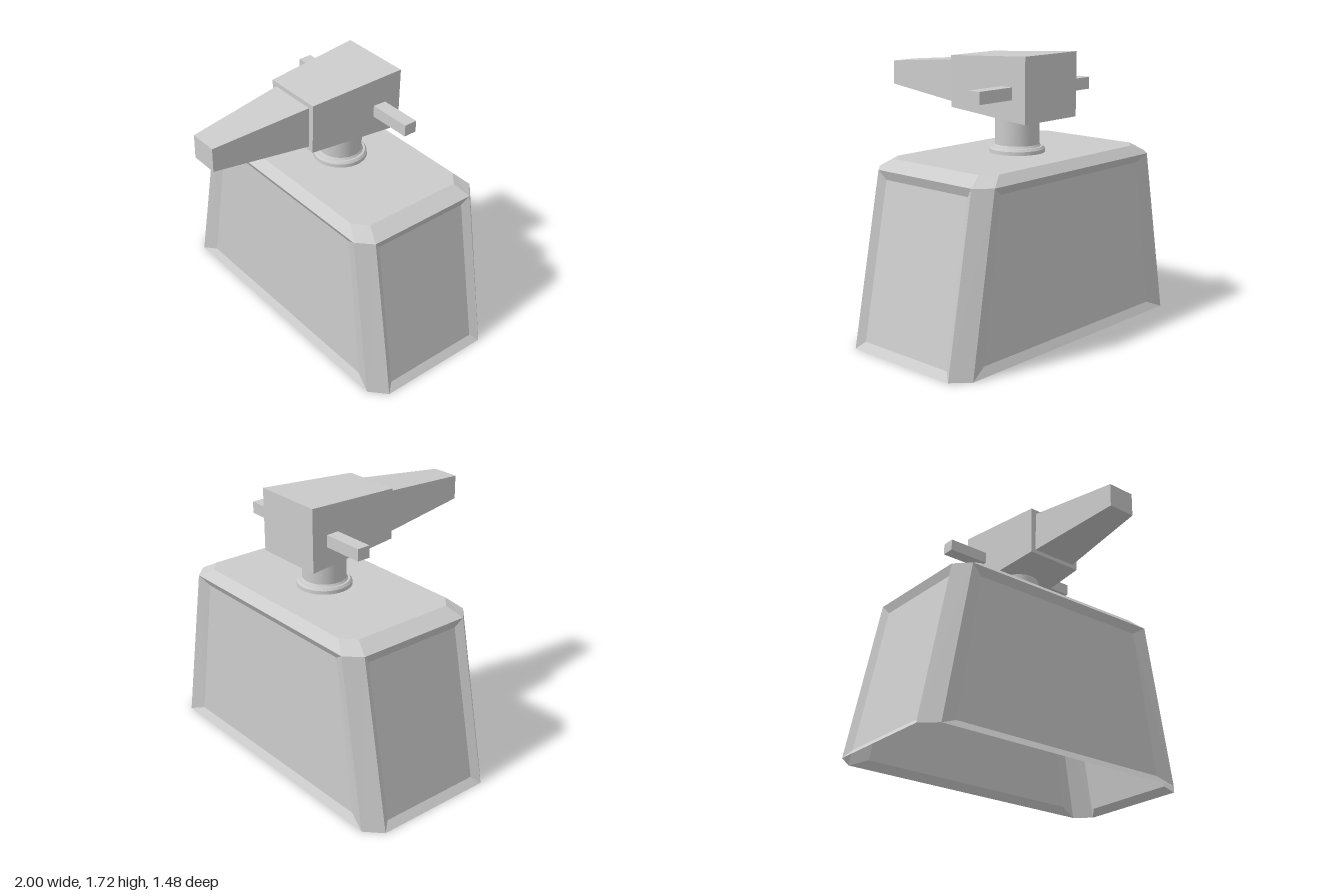
import * as THREE from 'three';

const CX = 0.01, CZ = -0.257; // neck/head centre line, body centre depth

// Octagonal ring: half sizes a, b with corners cut back to ac, bc
function ring(a, ac, b, bc, y) {
  return [[a, bc], [ac, b], [-ac, b], [-a, bc], [-a, -bc], [-ac, -b], [ac, -b], [a, -bc]]
    .map(([x, z]) => new THREE.Vector3(x, y, CZ + z));
}

// Tapered, open-bottomed body with recessed panels on its four main sides
function bodyGeometry() {
  const base = ring(1, 0.9, 0.4825, 0.3875, 0);
  const shoulder = ring(0.8, 0.71, 0.467, 0.377, 1.055);
  const top = ring(0.7, 0.615, 0.41, 0.335, 1.11);
  const pos = [];
  const tri = (...pts) => pts.forEach(p => pos.push(p.x, p.y, p.z));
  const quad = (a, b, c, d) => { tri(a, b, c); tri(a, c, d); };

  const panel = (bl, br, tr, tl) => {
    const normal = br.clone().sub(bl).cross(tl.clone().sub(bl)).normalize();
    const at = (u, v) => bl.clone().lerp(br, u)
      .lerp(tl.clone().lerp(tr, u), v).addScaledVector(normal, -0.03);
    const u = 0.062, v = 0.048;
    const outer = [bl, br, tr, tl];
    const inner = [at(u, v), at(1 - u, v), at(1 - u, 1 - v), at(u, 1 - v)];
    for (let k = 0; k < 4; k++) {
      const n = (k + 1) % 4;
      quad(outer[k], outer[n], inner[n], inner[k]);
    }
    quad(...inner);
  };

  for (let i = 0; i < 8; i++) {
    const n = (i + 1) % 8;
    (i % 2 ? panel : quad)(base[n], base[i], shoulder[i], shoulder[n]);
    quad(shoulder[n], shoulder[i], top[i], top[n]); // top bevel
    if (i > 0 && i < 7) tri(top[0], top[n], top[i]); // flat top
  }
  const g = new THREE.BufferGeometry();
  g.setAttribute('position', new THREE.Float32BufferAttribute(pos, 3));
  g.computeVertexNormals();
  return g;
}

// Box along z whose back and front ends are each { z, w, y0, y1 }
function taperedBox(back, front) {
  const g = new THREE.BoxGeometry(1, 1, 1);
  const p = g.attributes.position;
  for (let i = 0; i < p.count; i++) {
    const end = p.getZ(i) > 0 ? front : back;
    p.setXYZ(i, CX + p.getX(i) * end.w, p.getY(i) > 0 ? end.y1 : end.y0, end.z);
  }
  g.computeVertexNormals();
  return g;
}

export function createModel() {
  const model = new THREE.Group();
  const grey = new THREE.MeshStandardMaterial({ color: 0xcccccc });
  const greyOpen = new THREE.MeshStandardMaterial({ color: 0xcccccc, side: THREE.DoubleSide });
  const add = (name, geometry, material = grey) => {
    const mesh = new THREE.Mesh(geometry, material);
    mesh.name = name;
    model.add(mesh);
    return mesh;
  };

  add('body', bodyGeometry(), greyOpen);

  // Round neck standing on a stepped collar
  const disc = (name, rTop, rBottom, y0, y1) =>
    add(name, new THREE.CylinderGeometry(rTop, rBottom, y1 - y0, 32))
      .position.set(CX, (y0 + y1) / 2, -0.265);
  disc('collar', 0.17, 0.172, 1.1, 1.132);
  disc('collarBevel', 0.158, 0.17, 1.132, 1.147);
  disc('neckBase', 0.136, 0.145, 1.147, 1.16);
  disc('neck', 0.136, 0.136, 1.16, 1.37);

  // Head and nozzle, both narrowing toward the front
  add('head', taperedBox(
    { z: -0.53, w: 0.47, y0: 1.325, y1: 1.72 },
    { z: 0.108, w: 0.385, y0: 1.365, y1: 1.685 }));
  add('nozzle', taperedBox(
    { z: 0.1, w: 0.315, y0: 1.39, y1: 1.657 },
    { z: 0.742, w: 0.182, y0: 1.447, y1: 1.6 }));

  // Side handles
  for (const side of [-1, 1]) {
    add(side > 0 ? 'leftHandle' : 'rightHandle', new THREE.BoxGeometry(0.34, 0.075, 0.086))
      .position.set(CX + side * 0.332, 1.497, -0.379);
  }

  return model;
}
